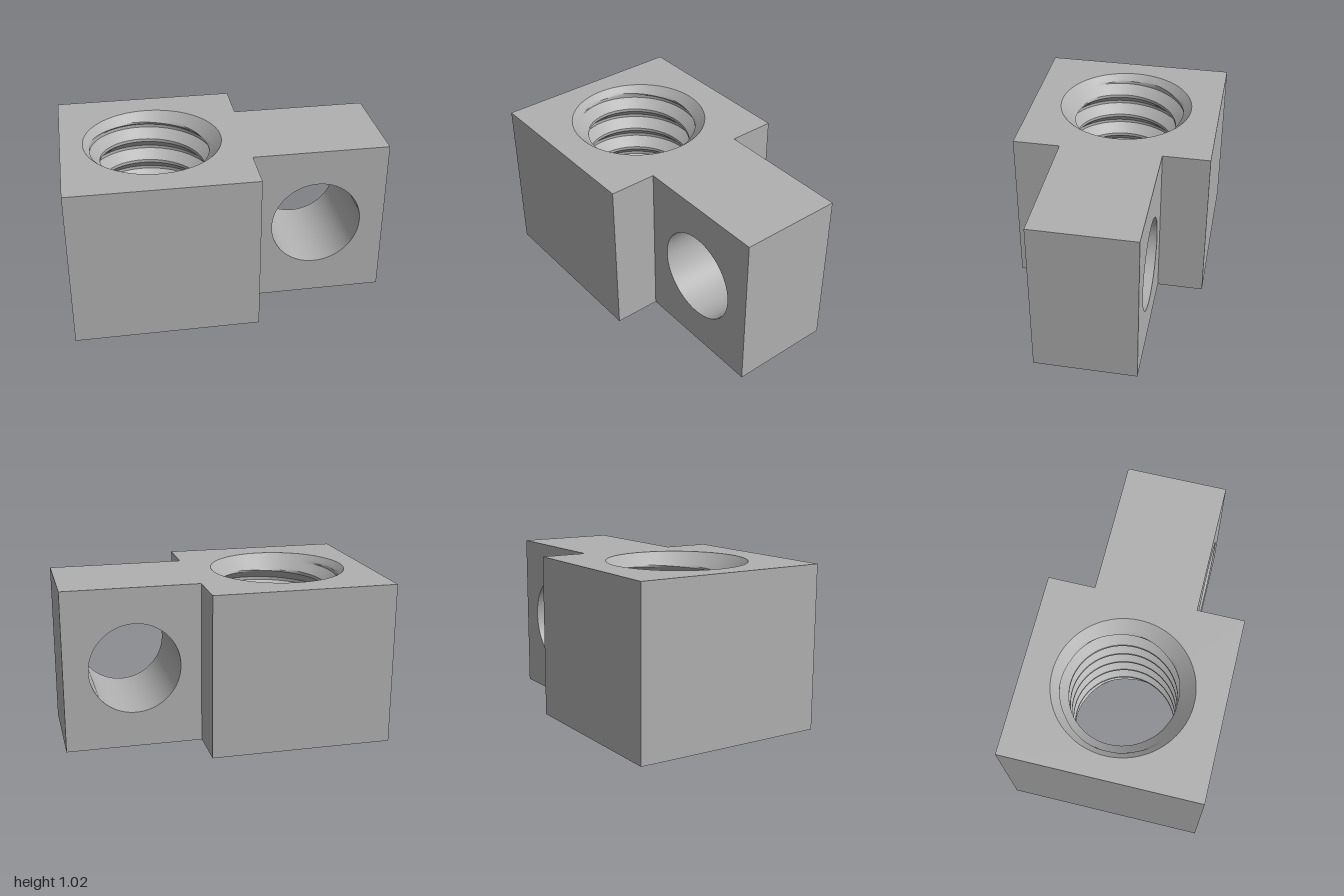
import * as THREE from 'three';
import { mergeGeometries, toCreasedNormals } from 'three/addons/utils/BufferGeometryUtils.js';

const H = 1.02;                                  // overall height
const X0 = -1, X1 = 0.145, X2 = 1;               // block start, block/arm step, arm end
const BLOCK_Z = 0.615, ARM_Z = 0.32;             // half depths
const BORE_X = -0.43, RIM = 0.43, MINOR = 0.33, MAJOR = 0.39, PITCH = 0.155;
const SEG = 96;

// Rectangle with a round hole
function plateShape(x0, x1, y0, y1, cx, cy, r) {
  const s = new THREE.Shape([
    new THREE.Vector2(x0, y0), new THREE.Vector2(x1, y0),
    new THREE.Vector2(x1, y1), new THREE.Vector2(x0, y1),
  ]);
  const hole = new THREE.Path();
  hole.absarc(cx, cy, r, 0, Math.PI * 2, true);
  s.holes.push(hole);
  return s;
}

// Outer skin of the block: holed top and bottom plus four walls
function blockGeometry() {
  const w = X1 - X0, cx = (X0 + X1) / 2;
  const cap = () => new THREE.ShapeGeometry(
    plateShape(X0, X1, -BLOCK_Z, BLOCK_Z, BORE_X, 0, RIM), SEG / 2);
  const wall = (width, turn, x, z) =>
    new THREE.PlaneGeometry(width, H).rotateY(turn).translate(x, H / 2, z);
  return mergeGeometries([
    cap().rotateX(-Math.PI / 2).translate(0, H, 0),
    cap().rotateX(Math.PI / 2),
    wall(w, 0, cx, BLOCK_Z),
    wall(w, Math.PI, cx, -BLOCK_Z),
    wall(2 * BLOCK_Z, Math.PI / 2, X1, 0),
    wall(2 * BLOCK_Z, -Math.PI / 2, X0, 0),
  ]);
}

// Helical thread, widened by a 45 degree chamfer at both mouths
function threadGeometry() {
  const profile = [[0, MINOR], [0.0575, MAJOR], [0.0775, MAJOR], [0.135, MINOR], [PITCH, MINOR]];
  const rows = [];                               // [depth offset, radius] down the bore
  for (let turn = -2; turn < 9; turn++) {
    for (let k = 0; k < 4; k++) {
      const [t0, r0] = profile[k], [t1, r1] = profile[k + 1];
      const steps = k % 2 ? 2 : 5;
      for (let s = 0; s < steps; s++) {
        const f = s / steps;
        rows.push([turn * PITCH + t0 + (t1 - t0) * f, r0 + (r1 - r0) * f]);
      }
    }
  }
  const point = (i, j) => {
    const a = (i / SEG) * Math.PI * 2;
    const raw = 0.1 + (i / SEG - 0.25) * PITCH + rows[j][0];
    const d = Math.min(H, Math.max(0, raw));
    const r = Math.max(rows[j][1], RIM - Math.min(d, H - d));
    return new THREE.Vector3(r * Math.cos(a), H - d, r * Math.sin(a));
  };
  const pos = [];
  const tri = (a, b, c) => {
    const area = b.clone().sub(a).cross(c.clone().sub(a)).length();
    if (area > 1e-9) for (const p of [a, b, c]) pos.push(p.x, p.y, p.z);
  };
  for (let i = 0; i < SEG; i++) {
    for (let j = 0; j < rows.length - 1; j++) {
      const a = point(i, j), b = point(i + 1, j), c = point(i, j + 1), d = point(i + 1, j + 1);
      if (a.y === c.y && b.y === d.y) continue;  // beyond the ends of the bore
      tri(a, c, b);
      tri(b, c, d);
    }
  }
  const g = new THREE.BufferGeometry();
  g.setAttribute('position', new THREE.Float32BufferAttribute(pos, 3));
  return toCreasedNormals(g, 0.5);
}

// Arm with a plain cross hole through its sides
function armGeometry() {
  const g = new THREE.ExtrudeGeometry(plateShape(X1, X2, 0, H, 0.56, H / 2, 0.285), {
    depth: 2 * ARM_Z, bevelEnabled: false, curveSegments: SEG / 2,
  });
  return toCreasedNormals(g.translate(0, 0, -ARM_Z), 0.5);
}

export function createModel() {
  const metal = new THREE.MeshStandardMaterial({ color: 0xb0b0b0 });
  metal.name = 'grey metal';
  const group = new THREE.Group();
  group.name = 'threadedBlock';
  const add = (name, geometry) => {
    const mesh = new THREE.Mesh(geometry, metal);
    mesh.name = name;
    group.add(mesh);
    return mesh;
  };
  add('block', blockGeometry());
  add('threadedBore', threadGeometry()).position.x = BORE_X;
  add('arm', armGeometry());
  return group;
}
